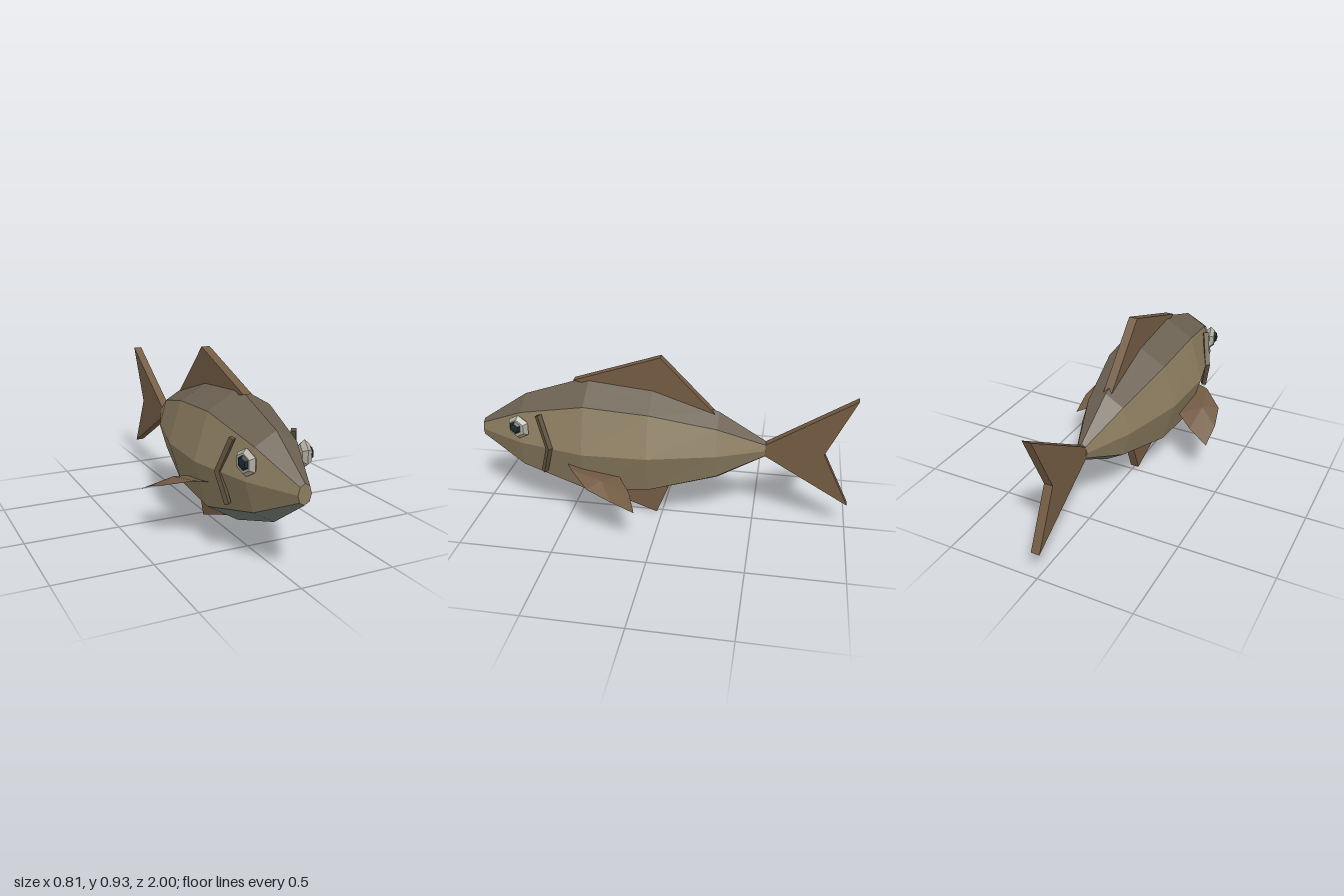
import * as THREE from 'three';

const mat = (color, extra = {}) => new THREE.MeshStandardMaterial({ color, flatShading: true, ...extra });

function addMesh(parent, name, geometry, material) {
  const mesh = new THREE.Mesh(geometry, material);
  mesh.name = name;
  parent.add(mesh);
  return mesh;
}

function facets(points) {
  const g = new THREE.BufferGeometry().setFromPoints(points);
  g.computeVertexNormals();
  return g;
}

// Octagonal body sections, nose to tail: z, half width, half height
const SECTIONS = [
  [1, 0.035, 0.05], [0.75, 0.155, 0.22], [0.39, 0.24, 0.343],
  [0.05, 0.228, 0.31], [-0.3, 0.138, 0.195], [-0.55, 0.03, 0.045],
];
const MID_Y = 0.442;

function ringPoint(i, k) {
  const [z, w, h] = SECTIONS[i];
  const a = (k * Math.PI) / 4;
  return new THREE.Vector3(w * Math.sin(a), MID_Y + h * Math.cos(a), z);
}

// Lofts the chosen strips of the octagon along the body
function bodyStrips(strips, caps) {
  const pts = [];
  const last = SECTIONS.length - 1;
  for (const k of strips) {
    for (let i = 0; i < last; i++) {
      const a = ringPoint(i, k), b = ringPoint(i, k + 1);
      const c = ringPoint(i + 1, k), d = ringPoint(i + 1, k + 1);
      pts.push(a, b, c, b, d, c);
    }
  }
  if (caps) {
    for (let k = 0; k < 8; k++) {
      pts.push(new THREE.Vector3(0, MID_Y, 1), ringPoint(0, k + 1), ringPoint(0, k));
      pts.push(new THREE.Vector3(0, MID_Y, -0.55), ringPoint(last, k), ringPoint(last, k + 1));
    }
  }
  return facets(pts);
}

// Flat fin in the middle plane, outline given as [z, y]
function flatFin(outline, thickness = 0.046) {
  const shape = new THREE.Shape(outline.map(([z, y]) => new THREE.Vector2(z, y)));
  const g = new THREE.ExtrudeGeometry(shape, { depth: thickness, bevelEnabled: false });
  return g.translate(0, 0, -thickness / 2).rotateY(-Math.PI / 2);
}

// Thin faceted side fin: rim joined to an upper and a lower centre
function sideFin(s) {
  const rim = [
    [0.19, 0.358, 0.48], [0.26, 0.362, 0.44], [0.375, 0.322, 0.33], [0.405, 0.28, 0.2],
    [0.402, 0.225, 0.08], [0.285, 0.272, 0.13], [0.19, 0.305, 0.2],
  ].map(([x, y, z]) => new THREE.Vector3(s * x, y, z));
  const top = new THREE.Vector3(s * 0.3, 0.338, 0.27);
  const under = new THREE.Vector3(s * 0.3, 0.318, 0.27);
  const pts = [];
  rim.forEach((p, i) => {
    const q = rim[(i + 1) % rim.length];
    if (s > 0) pts.push(top, p, q, under, q, p);
    else pts.push(top, q, p, under, p, q);
  });
  return facets(pts);
}

export function createModel() {
  const model = new THREE.Group();
  model.name = 'fish';
  const backMat = mat(0x6b6152), sideMat = mat(0x8b7c5f), bellyMat = mat(0x777e76);
  const finMat = mat(0x735b43), sideFinMat = mat(0x735b43, { side: THREE.DoubleSide });
  const gillMat = mat(0x62543f), eyeMat = mat(0xb0ad9e), pupilMat = mat(0x1c2a30);

  // Body in three colour zones
  addMesh(model, 'back', bodyStrips([0, 7]), backMat);
  addMesh(model, 'flanks', bodyStrips([1, 2, 5, 6], true), sideMat);
  addMesh(model, 'belly', bodyStrips([3, 4]), bellyMat);

  // Fins along the middle plane
  addMesh(model, 'dorsalFin', flatFin([[0.475, 0.768], [0.01, 0.925], [-0.28, 0.63], [0.05, 0.7], [0.35, 0.74]]), finMat);
  addMesh(model, 'analFin', flatFin([[0.345, 0.112], [0.03, 0], [-0.035, 0.165], [0.1, 0.2]]), finMat);
  addMesh(model, 'tailFin', flatFin([[-0.545, 0.472], [-1, 0.76], [-0.855, 0.445], [-1, 0.15], [-0.545, 0.412]]), finMat);

  for (const s of [1, -1]) {
    const side = s > 0 ? 'left' : 'right';
    addMesh(model, side + 'SideFin', sideFin(s), sideFinMat);

    // Gill chevron from two bars
    const gill = new THREE.Group();
    gill.name = side + 'Gill';
    const path = [[0.163, 0.612, 0.632], [0.204, 0.447, 0.572], [0.172, 0.297, 0.613]]
      .map(([x, y, z]) => new THREE.Vector3(s * x, y, z));
    for (let i = 0; i < 2; i++) {
      const bar = addMesh(gill, 'gillBar', new THREE.BoxGeometry(0.026, 0.024, path[i].distanceTo(path[i + 1]) + 0.01), gillMat);
      bar.position.lerpVectors(path[i], path[i + 1], 0.5);
      bar.lookAt(path[i + 1]);
    }
    model.add(gill);

    // Flattened six-sided eye with a dark pupil
    const eye = new THREE.Group();
    eye.name = side + 'Eye';
    const ball = addMesh(eye, 'eyeball', new THREE.SphereGeometry(0.068, 6, 4).rotateZ(Math.PI / 2), eyeMat);
    ball.scale.x = 0.46;
    const pupil = addMesh(eye, 'pupil', new THREE.SphereGeometry(0.037, 6, 4).rotateZ(Math.PI / 2), pupilMat);
    pupil.scale.x = 0.45;
    pupil.position.set(s * 0.024, 0.004, 0.005);
    eye.position.set(s * 0.15, 0.533, 0.75);
    eye.rotation.y = -s * 0.25;
    model.add(eye);
  }
  return model;
}
